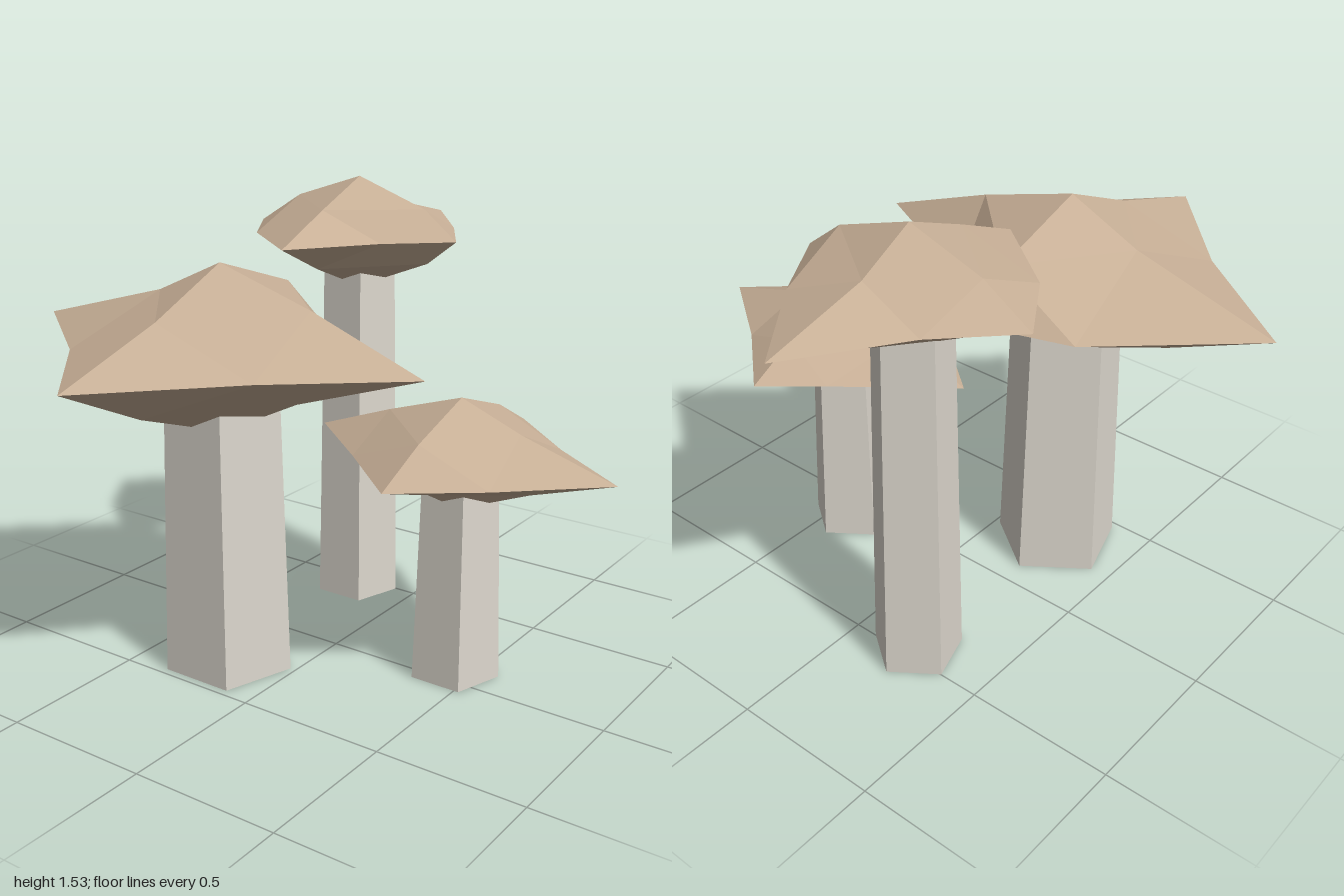
import * as THREE from 'three';

const capMaterial = new THREE.MeshStandardMaterial({ color: 0xc8b097, flatShading: true });
const stemMaterial = new THREE.MeshStandardMaterial({ color: 0xdcd7cd, flatShading: true, side: THREE.DoubleSide });

// Each cap is an uneven, once-divided octahedron, given as offsets from its centre.
// tips: +x -x +y -y +z -z; rim (x,z), across (x,y) and along (z,y) list ++ +- -+ -- midpoints.
const mushrooms = [
  {
    name: 'largeMushroom', x: -0.225, z: 0.3, capY: 1.1,
    stem: { top: 0.19, bottom: 0.215, height: 0.96 },
    tips: [0.745, 0.745, 0.255, 0.29, 0.7, 0.49],
    rim: [[0.37, 0.31], [0.25, 0.26], [0.33, 0.33], [0.31, 0.395]],
    across: [[0.345, 0.15], [0.29, 0.15], [0.25, 0.14], [0.39, 0.153]],
    along: [[0.3, 0.125], [0.38, 0.153], [0.345, 0.14], [0.27, 0.13]],
  },
  {
    name: 'smallMushroom', x: 0.428, z: -0.07, capY: 0.765,
    stem: { top: 0.128, bottom: 0.15, height: 0.68 },
    tips: [0.535, 0.525, 0.18, 0.19, 0.45, 0.425],
    rim: [[0.25, 0.26], [0.248, 0.206], [0.26, 0.22], [0.18, 0.275]],
    across: [[0.21, 0.098], [0.25, 0.09], [0.265, 0.095], [0.23, 0.09]],
    along: [[0.25, 0.095], [0.19, 0.085], [0.25, 0.095], [0.19, 0.085]],
  },
  {
    name: 'tallMushroom', x: -0.22, z: -0.452, capY: 1.345,
    stem: { top: 0.128, bottom: 0.15, height: 1.26 },
    tips: [0.39, 0.425, 0.19, 0.195, 0.447, 0.548],
    rim: [[0.2, 0.17], [0.24, 0.24], [0.27, 0.235], [0.22, 0.21]],
    across: [[0.265, 0.098], [0.28, 0.085], [0.257, 0.105], [0.21, 0.09]],
    along: [[0.22, 0.1], [0.25, 0.095], [0.19, 0.088], [0.25, 0.095]],
  },
];

// Magnitudes of one cap vertex, chosen by the signs of its direction
function capOffset(m, sx, sy, sz) {
  const pick = (list, a, b) => list[(a < 0 ? 2 : 0) + (b < 0 ? 1 : 0)];
  if (sx && sz) { const [x, z] = pick(m.rim, sx, sz); return [x, 0, z]; }
  if (sx && sy) { const [x, y] = pick(m.across, sx, sy); return [x, y, 0]; }
  if (sz && sy) { const [z, y] = pick(m.along, sz, sy); return [0, y, z]; }
  const tip = (axis, s) => m.tips[axis * 2 + (s < 0 ? 1 : 0)];
  return [tip(0, sx), tip(1, sy), tip(2, sz)];
}

function makeCap(m) {
  const geometry = new THREE.OctahedronGeometry(1, 1);
  const p = geometry.attributes.position;
  const sign = (v) => (Math.abs(v) < 0.1 ? 0 : Math.sign(v));
  for (let i = 0; i < p.count; i++) {
    const s = [sign(p.getX(i)), sign(p.getY(i)), sign(p.getZ(i))];
    const o = capOffset(m, ...s);
    p.setXYZ(i, s[0] * o[0], s[1] * o[1], s[2] * o[2]);
  }
  geometry.computeVertexNormals();
  const cap = new THREE.Mesh(geometry, capMaterial);
  cap.name = 'cap';
  cap.position.y = m.capY;
  return cap;
}

// Five-sided tapered tube with a flat side to the front
function makeStem({ top, bottom, height }) {
  const geometry = new THREE.CylinderGeometry(top, bottom, height, 5, 1, true);
  const stem = new THREE.Mesh(geometry, stemMaterial);
  stem.name = 'stem';
  stem.rotation.y = Math.PI;
  stem.position.y = height / 2;
  return stem;
}

export function createModel() {
  const model = new THREE.Group();
  model.name = 'mushroomCluster';
  for (const m of mushrooms) {
    const mushroom = new THREE.Group();
    mushroom.name = m.name;
    mushroom.position.set(m.x, 0, m.z);
    mushroom.add(makeStem(m.stem), makeCap(m));
    model.add(mushroom);
  }
  return model;
}
